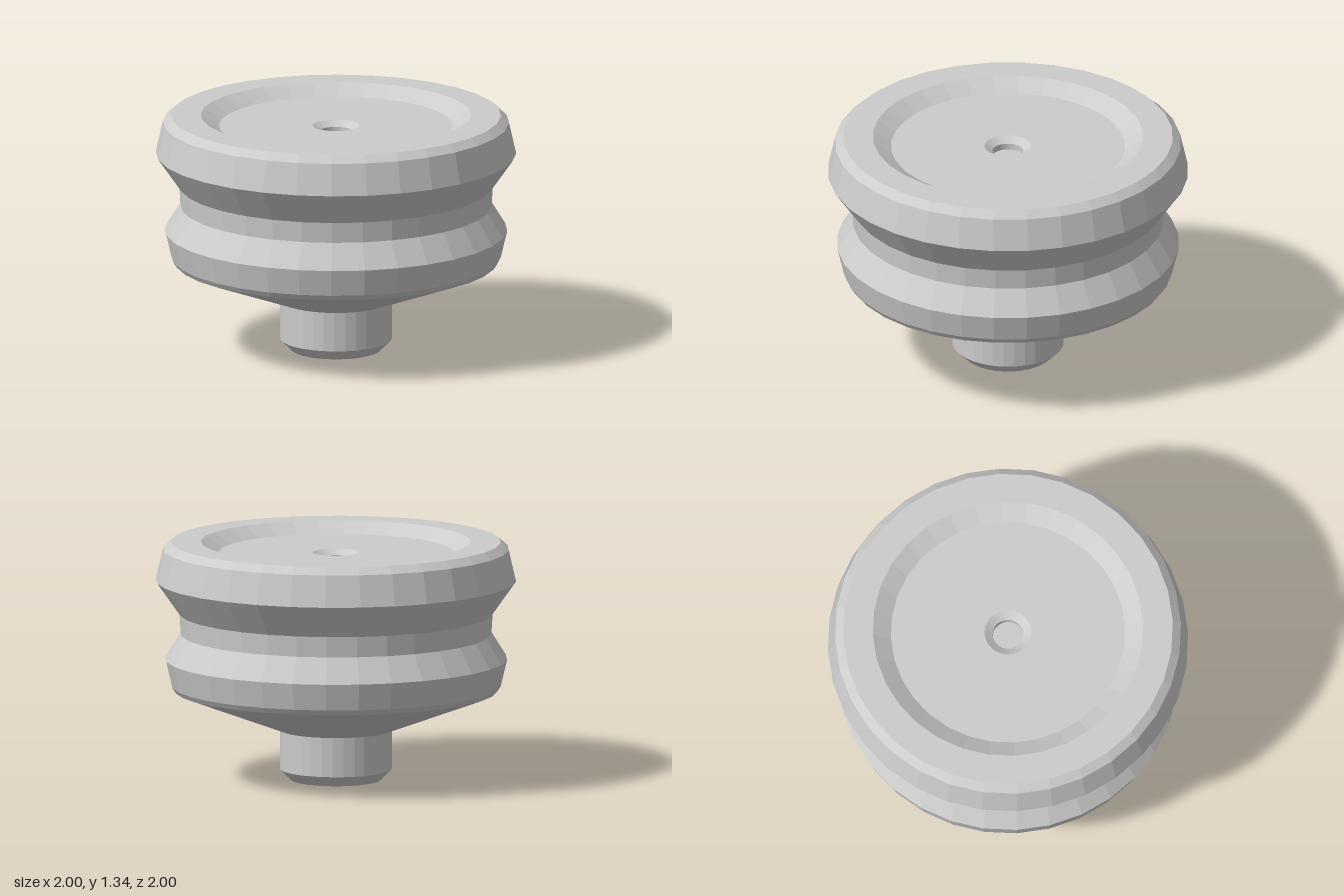
import * as THREE from 'three';

const SIDES = 32;

// Turned part from a [radius, height] profile running up the outside, then inward
function turned(name, profile, material) {
  const points = profile.map(([r, y]) => new THREE.Vector2(r, y));
  const mesh = new THREE.Mesh(new THREE.LatheGeometry(points, SIDES), material);
  mesh.name = name;
  return mesh;
}

export function createModel() {
  const group = new THREE.Group();
  group.name = 'groovedKnob';
  const material = new THREE.MeshStandardMaterial({ color: 0xcccccc, flatShading: true });

  // Short stem with a chamfered foot
  group.add(turned('stem', [[0, 0], [0.25, 0], [0.31, 0.06], [0.31, 0.28]], material));

  // Conical underside and lower flange, up to the groove
  group.add(turned('lowerFlange', [
    [0.31, 0.28], [0.895, 0.5], [0.915, 0.53], [0.95, 0.68], [0.863, 0.82],
  ], material));

  // Waist between the flanges
  group.add(turned('groove', [[0.863, 0.82], [0.87, 0.935]], material));

  // Upper flange with a bevelled rim
  group.add(turned('upperFlange', [
    [0.87, 0.935], [1, 1.12], [0.96, 1.295], [0.915, 1.335], [0.75, 1.335],
  ], material));

  // Shallow dish in the top face
  group.add(turned('dish', [[0.75, 1.335], [0.65, 1.275], [0.13, 1.275]], material));

  // Countersunk blind hole in the middle
  group.add(turned('centreHole', [[0.13, 1.275], [0.085, 1.245], [0.085, 1.21], [0, 1.21]], material));

  return group;
}
